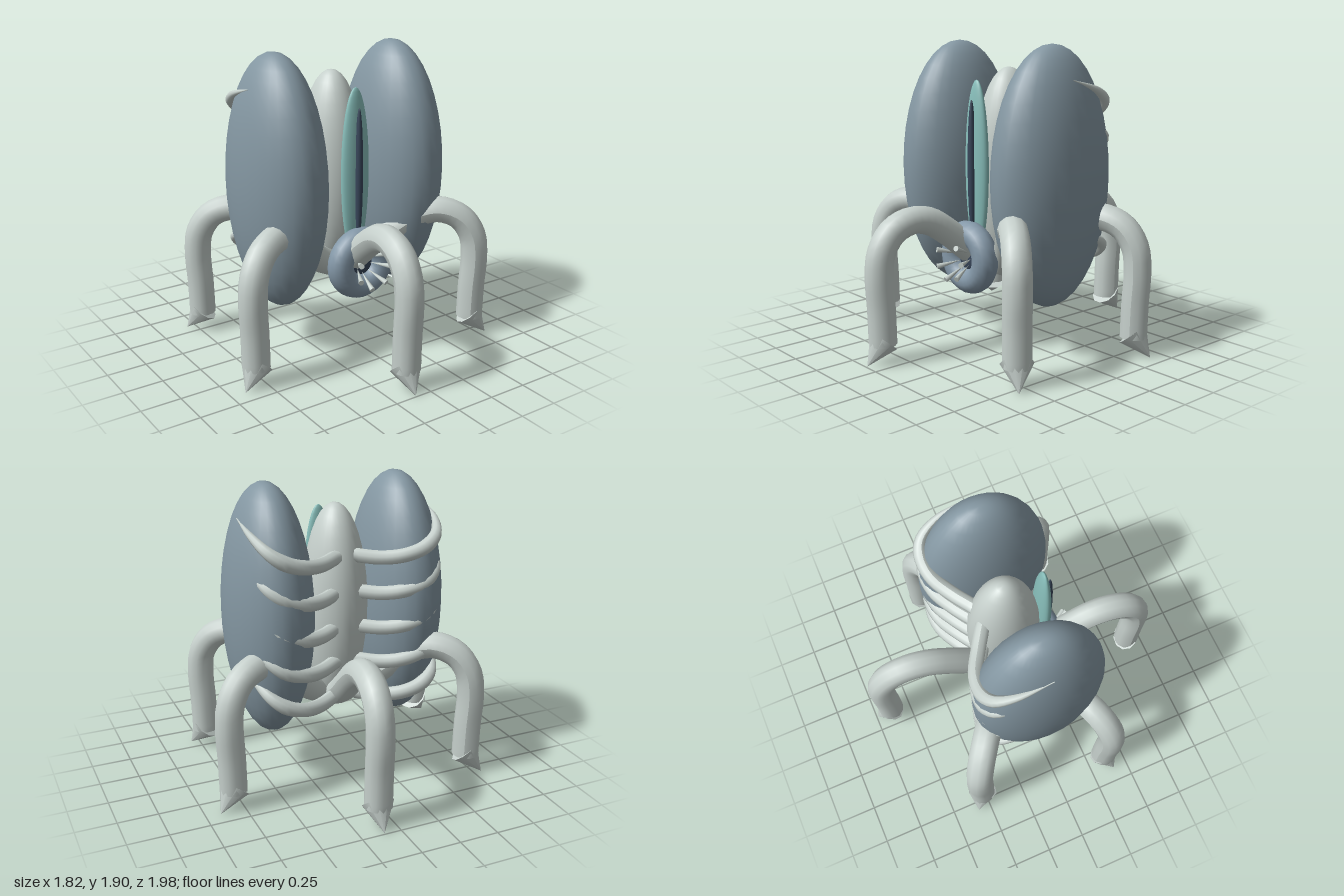
import * as THREE from 'three';

const mat = (name, color) => {
  const m = new THREE.MeshStandardMaterial({ color });
  m.name = name;
  return m;
};

export function createModel() {
  const model = new THREE.Group();
  model.name = 'sixLeggedCreature';
  const bone = mat('paleBone', 0xc6d0cc);
  const slate = mat('slateShell', 0x8497a2);
  const mouthBlue = mat('mouthBlue', 0x8498a8);
  const teal = mat('teal', 0x88bfbb);
  const dark = mat('darkNavy', 0x38465a);

  const add = (name, geometry, material, parent = model) => {
    const mesh = new THREE.Mesh(geometry, material);
    mesh.name = name;
    parent.add(mesh);
    return mesh;
  };
  const ellipsoid = (name, material, pos, radii) => {
    const mesh = add(name, new THREE.SphereGeometry(1, 28, 20), material);
    mesh.position.set(...pos);
    mesh.scale.set(...radii);
    return mesh;
  };

  // Tube whose radius follows taper(t) along a smooth path
  const taperedTube = (points, radius, taper, segments = 28, sides = 10) => {
    const curve = new THREE.CatmullRomCurve3(points.map(p => new THREE.Vector3(...p)));
    const geo = new THREE.TubeGeometry(curve, segments, radius, sides);
    const pos = geo.attributes.position;
    const v = new THREE.Vector3();
    for (let i = 0; i < pos.count; i++) {
      const t = Math.floor(i / (sides + 1)) / segments;
      const c = curve.getPointAt(t);
      v.fromBufferAttribute(pos, i).sub(c).multiplyScalar(taper(t)).add(c);
      pos.setXYZ(i, v.x, v.y, v.z);
    }
    geo.computeVertexNormals();
    return geo;
  };

  // Cone running from a base centre to a tip
  const spike = (name, base, tip, radius, sides, material, parent) => {
    const a = new THREE.Vector3(...base), b = new THREE.Vector3(...tip);
    const dir = b.clone().sub(a);
    const mesh = add(name, new THREE.ConeGeometry(radius, dir.length(), sides), material, parent);
    mesh.position.copy(a).add(b).multiplyScalar(0.5);
    mesh.quaternion.setFromUnitVectors(new THREE.Vector3(0, 1, 0), dir.normalize());
    return mesh;
  };

  // Body, front stripe and slit
  ellipsoid('body', bone, [0, 1.1, -0.045], [0.2, 0.65, 0.23]);
  ellipsoid('frontStripe', teal, [0, 1.14, 0.215], [0.1, 0.54, 0.045]);
  ellipsoid('frontSlit', dark, [0, 1.14, 0.257], [0.025, 0.42, 0.027]);

  // Side lobes and the ribs that wrap them from behind
  for (const s of [1, -1]) {
    const side = s > 0 ? 'left' : 'right';
    ellipsoid(side + 'Lobe', slate, [s * 0.435, 1.105, 0], [0.265, 0.8, 0.425]);
    for (let i = 0; i < 5; i++) {
      const dy = -0.225 * i;
      const path = [
        [0.06, 1.45, -0.2], [0.2, 1.44, -0.29], [0.33, 1.46, -0.36], [0.45, 1.5, -0.375],
        [0.54, 1.56, -0.34], [0.595, 1.63, -0.22], [0.613, 1.7, 0],
      ].map(([x, y, z]) => [s * x, y + dy, z]);
      const taper = t => (t < 0.5 ? 1 : Math.max(0.06, 1 - (t - 0.5) * 1.9));
      add(side + 'Rib', taperedTube(path, 0.045, taper), bone);
    }
  }

  // Ring mouth with a dark throat and a circle of teeth
  const mouth = new THREE.Group();
  mouth.name = 'mouth';
  mouth.position.set(0, 0.575, 0.28);
  model.add(mouth);
  add('mouthRing', new THREE.TorusGeometry(0.15, 0.082, 14, 28), mouthBlue, mouth);
  const throat = add('throat', new THREE.SphereGeometry(0.1, 20, 12), dark, mouth);
  throat.scale.z = 0.3;
  for (let i = 0; i < 7; i++) {
    const a = (i / 7) * Math.PI * 2;
    const c = Math.cos(a), n = Math.sin(a);
    spike('tooth', [c * 0.125, n * 0.125, 0.17], [c * 0.05, n * 0.05, 0.03], 0.018, 8, bone, mouth);
  }

  // Six arched legs with pointed feet, built along +x and turned about y
  const legGeo = taperedTube([
    [0.05, 0.5, 0], [0.22, 0.59, 0], [0.43, 0.76, 0], [0.55, 0.835, 0], [0.67, 0.855, 0],
    [0.8, 0.805, 0], [0.88, 0.69, 0], [0.9, 0.55, 0], [0.89, 0.33, 0], [0.885, 0.12, 0],
  ], 0.086, () => 1, 36, 12);
  for (let i = 0; i < 6; i++) {
    const leg = new THREE.Group();
    leg.name = 'leg';
    leg.rotation.y = -THREE.MathUtils.degToRad(36 + 60 * i);
    model.add(leg);
    add('legTube', legGeo, bone, leg);
    spike('foot', [0.88, 0.14, 0], [0.995, 0, 0], 0.1, 10, bone, leg);
  }
  return model;
}
